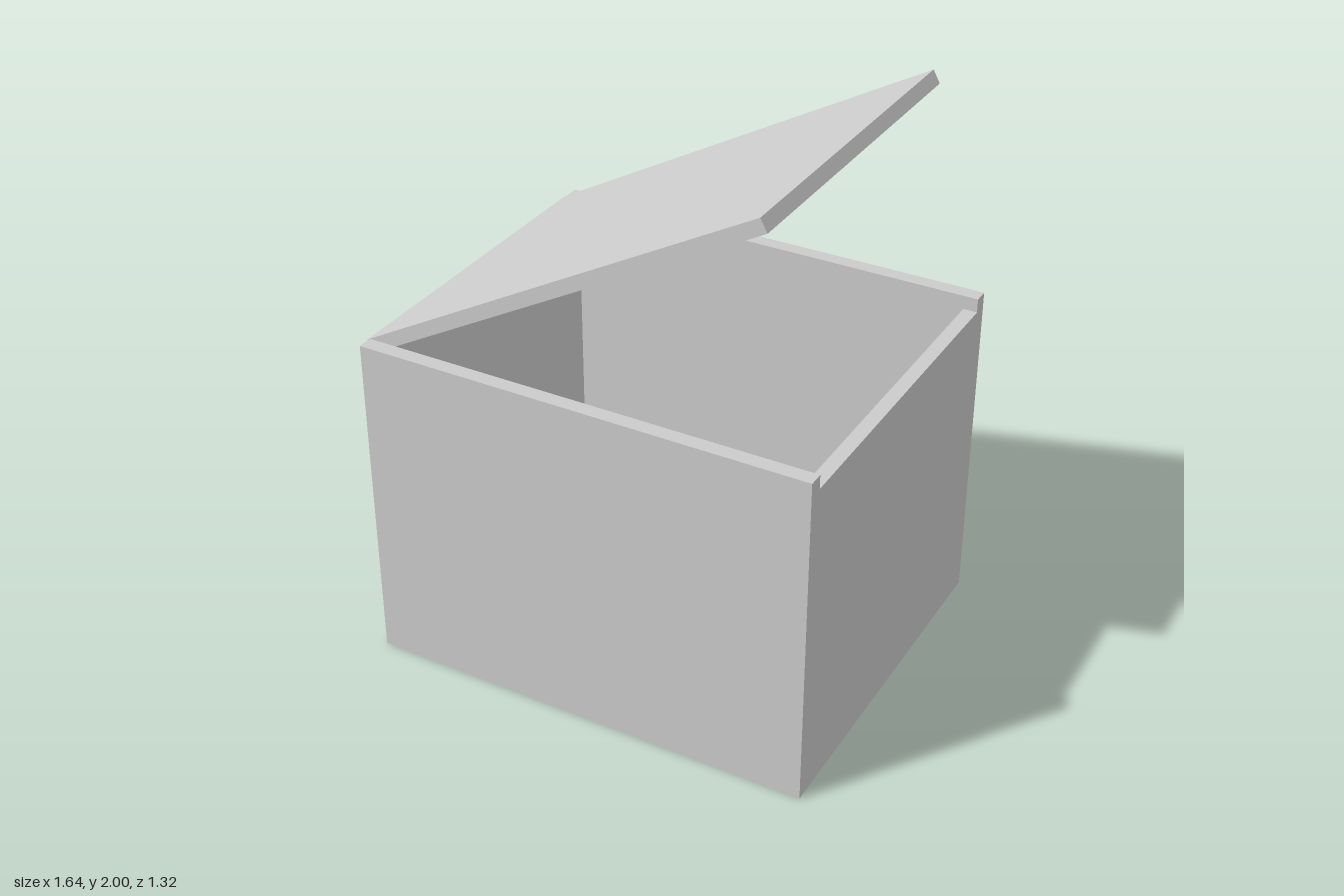
import * as THREE from 'three';

const material = new THREE.MeshStandardMaterial({ color: 0xcccccc, flatShading: true });

// Box given by its min and max corners
function slab(name, [x0, y0, z0], [x1, y1, z1]) {
  const geometry = new THREE.BoxGeometry(x1 - x0, y1 - y0, z1 - z0);
  geometry.translate((x0 + x1) / 2, (y0 + y1) / 2, (z0 + z1) / 2);
  const mesh = new THREE.Mesh(geometry, material);
  mesh.name = name;
  return mesh;
}

export function createModel() {
  const group = new THREE.Group();
  group.name = 'openBox';

  const left = -0.808, right = 0.818; // outer ends in x
  const depth = 0.661, inner = 0.607; // outer and inner half depth
  const top = 1.216, wall = 0.05;
  const rim = top - wall; // side walls stop lower so the closed lid sits flush

  // Full-height front and back walls
  group.add(slab('frontWall', [left, 0, inner], [right, top, depth]));
  group.add(slab('backWall', [left, 0, -depth], [right, top, -inner]));

  // Lower side walls and the floor between them
  group.add(slab('leftWall', [right - wall, 0, -inner], [right, rim, inner]));
  group.add(slab('rightWall', [left, 0, -inner], [left + wall, rim, inner]));
  group.add(slab('floor', [left + wall, 0, -inner], [right - wall, wall, inner]));

  // Lid swung open about its upper edge
  const lid = slab('lid', [0, -wall, -inner], [right - left, 0, inner]);
  lid.position.set(-0.819, 1.21, 0);
  lid.rotation.z = THREE.MathUtils.degToRad(29.1);
  group.add(lid);

  return group;
}
